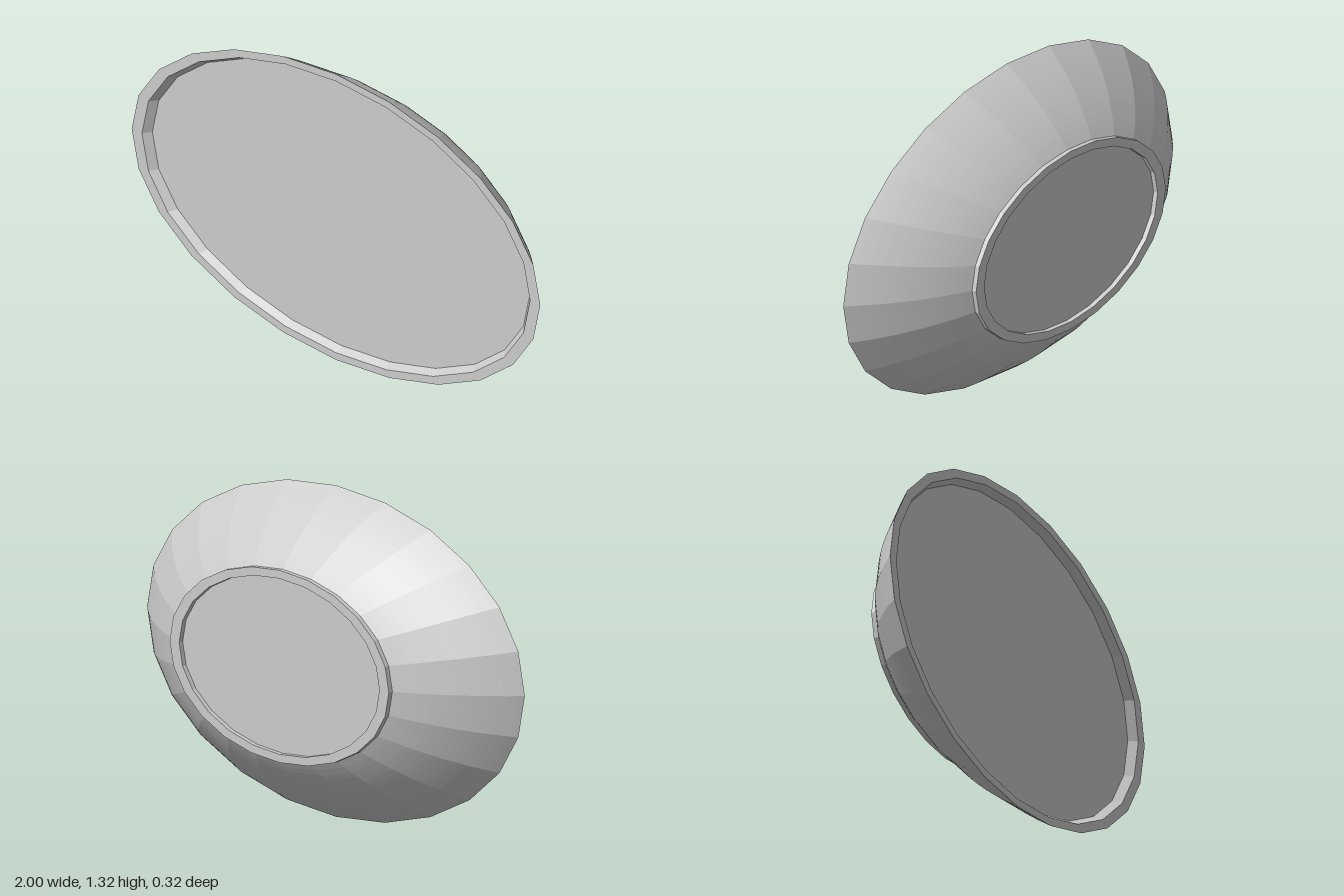
import * as THREE from 'three';

const SIDES = 24;
const HALF_HEIGHT = 0.662;   // half height of the oval, half width is 1
const CENTRE_Y = 0.665;

export function createModel() {
  const group = new THREE.Group();
  group.name = 'ovalDish';
  const material = new THREE.MeshStandardMaterial({ color: 0xcccccc, flatShading: true });

  // Turns a [radius, z] profile (back to front) around z and squashes it to an oval
  function addOval(name, profile) {
    const points = profile.map(([r, z]) => new THREE.Vector2(r, z));
    const geometry = new THREE.LatheGeometry(points, SIDES);
    geometry.rotateX(Math.PI / 2);
    geometry.scale(1, HALF_HEIGHT, 1);
    const mesh = new THREE.Mesh(geometry, material);
    mesh.name = name;
    mesh.position.y = CENTRE_Y;
    group.add(mesh);
  }

  // Bowl wall: an arc of a sphere from the foot to the rim
  const arcCentre = 1.116, arcRadius = 1.383, steps = 16;
  const wall = [];
  for (let i = 0; i <= steps; i++) {
    const z = -0.14 + 0.3 * i / steps;
    wall.push([Math.sqrt(arcRadius ** 2 - (z - arcCentre) ** 2), z]);
  }
  addOval('bowlWall', wall);

  // Flat rim, sloping lip and the shallow floor inside it
  addOval('rim', [[1, 0.16], [0.95, 0.16]]);
  addOval('innerLip', [[0.95, 0.16], [0.924, 0.128]]);
  addOval('floor', [[0.924, 0.128], [0, 0.128]]);

  // Raised foot ring on the back with a recessed base
  addOval('base', [[0, -0.14], [0.53, -0.14]]);
  addOval('footRing', [[0.53, -0.14], [0.53, -0.16], [0.58, -0.16], [0.58, -0.14]]);

  return group;
}
